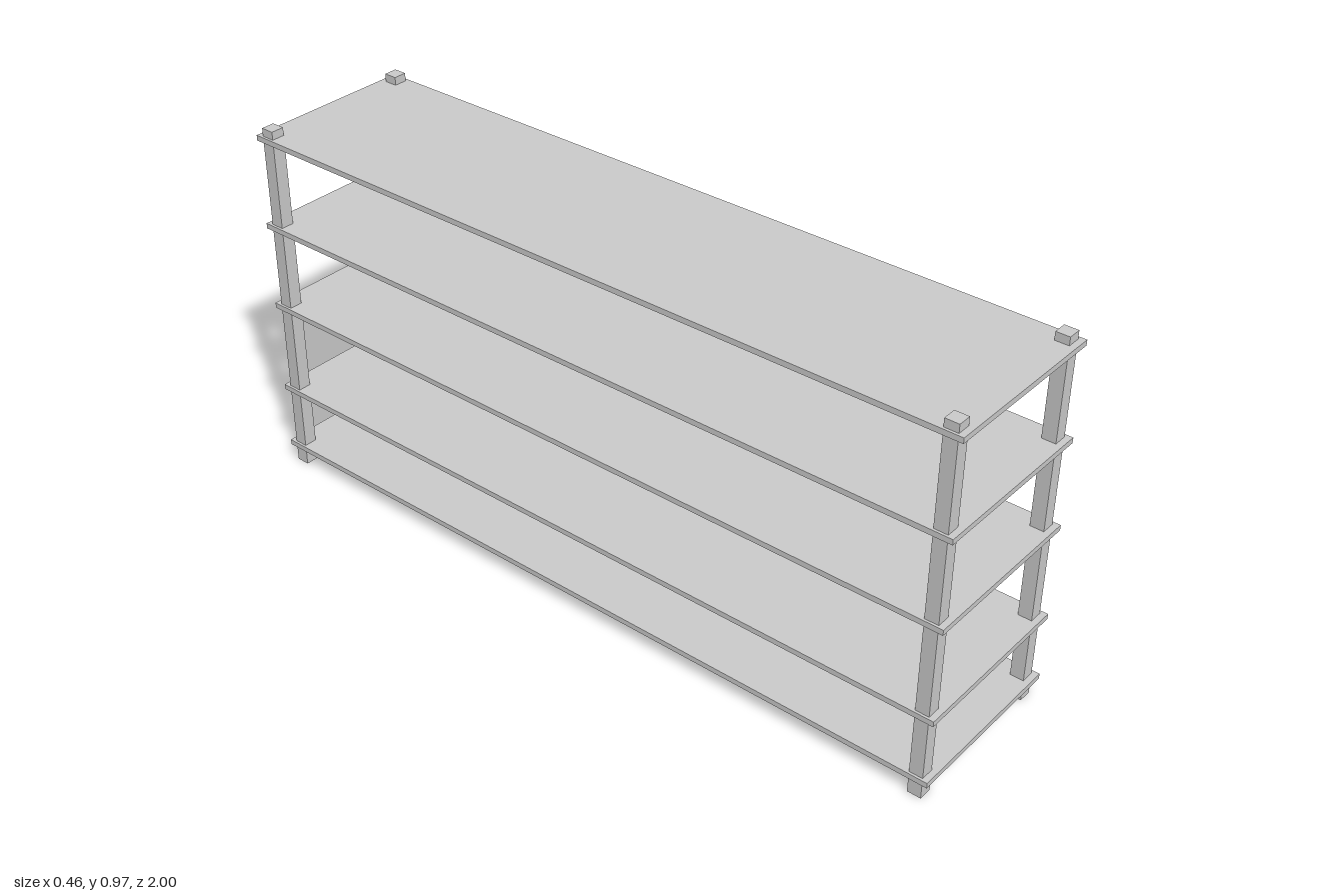
import * as THREE from 'three';

const material = new THREE.MeshStandardMaterial({ color: 0xcccccc });

function addBox(group, name, size, position) {
  const mesh = new THREE.Mesh(new THREE.BoxGeometry(...size), material);
  mesh.name = name;
  mesh.position.set(...position);
  group.add(mesh);
}

export function createModel() {
  const group = new THREE.Group();
  group.name = 'shelvingUnit';

  // Four square corner posts, rising just above the top shelf
  const postHeight = 0.967;
  for (const [side, x] of [['Left', 0.203], ['Right', -0.206]]) {
    for (const [end, z] of [['front', 0.967], ['back', -0.967]]) {
      addBox(group, `${end}${side}Post`, [0.035, postHeight, 0.035], [x, postHeight / 2, z]);
    }
  }

  // Five thin shelves, unevenly spaced
  [0.051, 0.225, 0.471, 0.699, 0.939].forEach((y, i) => {
    addBox(group, `shelf${i + 1}`, [0.46, 0.014, 2], [0, y, 0]);
  });

  return group;
}
